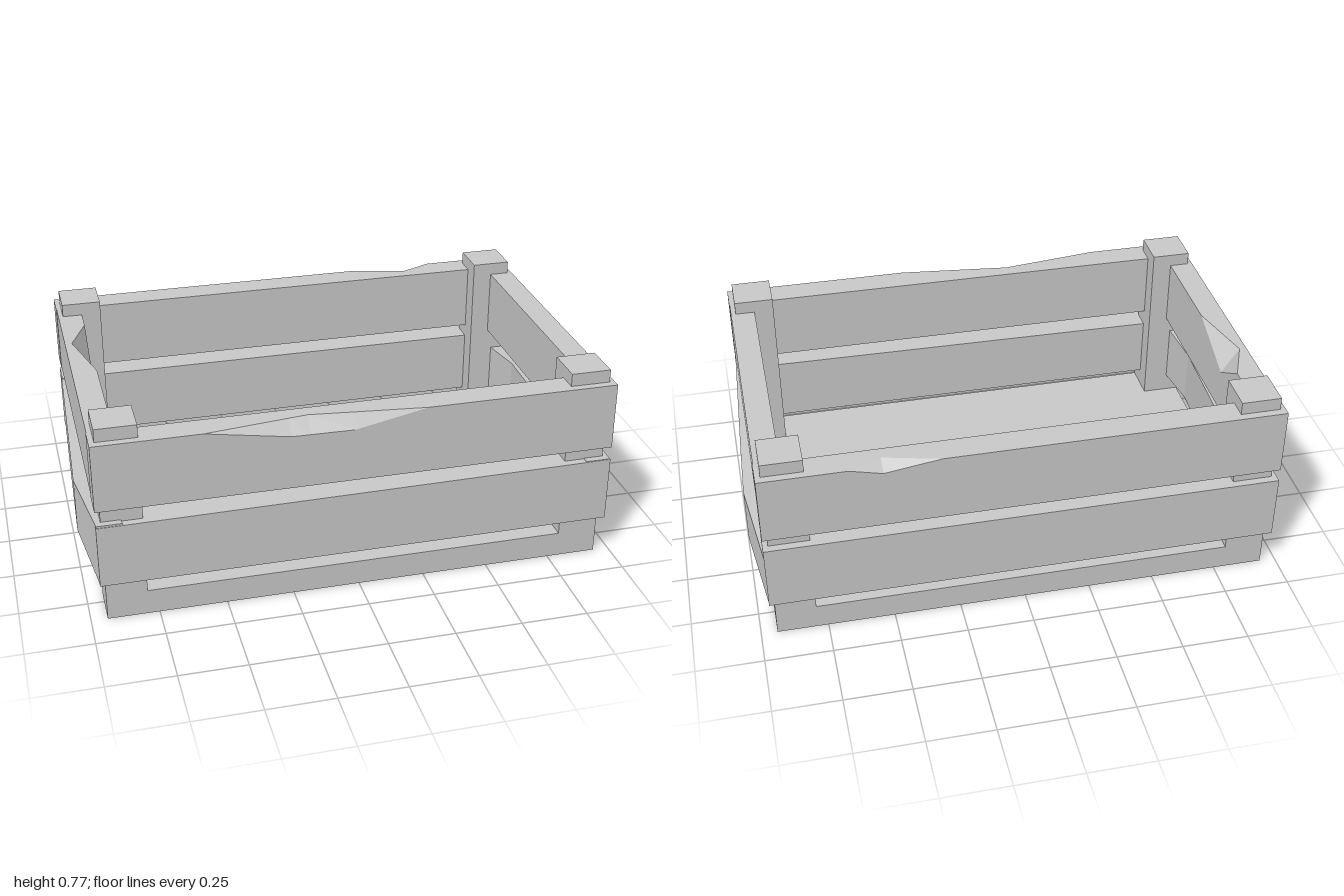
import * as THREE from 'three';

const material = new THREE.MeshStandardMaterial({ color: 0xcccccc, flatShading: true });

function box(name, x0, x1, y0, y1, z0, z1) {
  const mesh = new THREE.Mesh(new THREE.BoxGeometry(x1 - x0, y1 - y0, z1 - z0), material);
  mesh.position.set((x0 + x1) / 2, (y0 + y1) / 2, (z0 + z1) / 2);
  mesh.name = name;
  return mesh;
}

// Plank lofted along x, facing +z and then turned about y.
// Each section: u (place along the plank), lo, hi, bow (outward shift),
// outCut / inCut: [inset, drop] of a chip in the outer or inner top edge.
function plank(name, turn, inner, outer, lo, hi, sections) {
  const rings = sections.map((s) => {
    const { u, bow = 0, outCut = [0, 0], inCut = [0, 0] } = s;
    const b = s.lo ?? lo, t = s.hi ?? hi, i = inner + bow, o = outer + bow;
    return [
      [u, b, i], [u, t - inCut[1], i], [u, t, i + inCut[0]],
      [u, t, o - outCut[0]], [u, t - outCut[1], o], [u, b, o],
    ];
  });
  const positions = [];
  const tri = (...corners) => corners.forEach((c) => positions.push(...c));
  for (let r = 0; r < rings.length - 1; r++) {
    const a = rings[r], b = rings[r + 1];
    for (let k = 0; k < 6; k++) {
      const n = (k + 1) % 6;
      tri(a[k], a[n], b[n]);
      tri(a[k], b[n], b[k]);
    }
  }
  // End caps
  const first = rings[0], last = rings[rings.length - 1];
  for (let k = 1; k < 5; k++) {
    tri(first[0], first[k + 1], first[k]);
    tri(last[0], last[k], last[k + 1]);
  }
  const geometry = new THREE.BufferGeometry();
  geometry.setAttribute('position', new THREE.Float32BufferAttribute(positions, 3));
  geometry.computeVertexNormals();
  const mesh = new THREE.Mesh(geometry, material);
  mesh.rotation.y = turn;
  mesh.name = name;
  return mesh;
}

export function createModel() {
  const crate = new THREE.Group();
  crate.name = 'crate';

  // Corner posts
  for (const x of [-0.865, 0.865]) {
    for (const z of [-0.535, 0.535]) {
      crate.add(box('cornerPost', x - 0.075, x + 0.075, 0, 0.775, z - 0.075, z + 0.075));
    }
  }

  // Floor boards
  for (const [z0, z1] of [[-0.61, -0.245], [-0.18, 0.18], [0.248, 0.61]]) {
    crate.add(box('floorBoard', -0.935, 0.935, 0, 0.097, z0, z1));
  }

  const L = 0.96, S = 0.638;
  const front = 0, back = Math.PI, left = Math.PI / 2, right = -Math.PI / 2;
  const upper = [0.467, 0.726], lower = [0.162, 0.417];

  // Upper planks, three of them chipped along the top edge
  crate.add(plank('upperFrontPlank', front, 0.535, 0.64, ...upper, [
    { u: -L }, { u: -0.57 },
    { u: -0.26, outCut: [0.041, 0.052] },
    { u: -0.19, outCut: [0.05, 0.053] },
    { u: -0.03, outCut: [0.031, 0.055] },
    { u: 0.24 }, { u: L },
  ]));
  crate.add(plank('upperBackPlank', back, 0.535, 0.64, ...upper, [
    { u: -L }, { u: -0.64 }, { u: -0.52, outCut: [0.053, 0.03] }, { u: -0.31 }, { u: L },
  ]));
  crate.add(plank('upperLeftPlank', left, 0.865, 0.958, ...upper, [{ u: -S }, { u: S }]));
  crate.add(plank('upperRightPlank', right, 0.865, 0.958, ...upper, [
    { u: -S }, { u: -0.36 }, { u: -0.2, inCut: [0.066, 0.1] }, { u: 0.06 }, { u: S },
  ]));

  // Lower planks, the short ones bowed outward
  crate.add(plank('lowerFrontPlank', front, 0.535, 0.64, ...lower, [
    { u: -L, hi: 0.402 }, { u: L, hi: 0.415 },
  ]));
  crate.add(plank('lowerBackPlank', back, 0.535, 0.64, ...lower, [{ u: -L }, { u: L }]));
  crate.add(plank('lowerLeftPlank', left, 0.865, 0.958, ...lower, [
    { u: -S },
    { u: 0, lo: 0.175, hi: 0.402, bow: 0.031 },
    { u: 0.26, lo: 0.174, hi: 0.395, bow: 0.042 },
    { u: S, lo: 0.16, hi: 0.37 },
  ]));
  crate.add(plank('lowerRightPlank', right, 0.865, 0.958, ...lower, [
    { u: -S },
    { u: -0.25, lo: 0.168, hi: 0.402, bow: 0.018 },
    { u: 0.27, lo: 0.178, hi: 0.392, bow: 0.042 },
    { u: S, lo: 0.162, hi: 0.41 },
  ]));

  return crate;
}
